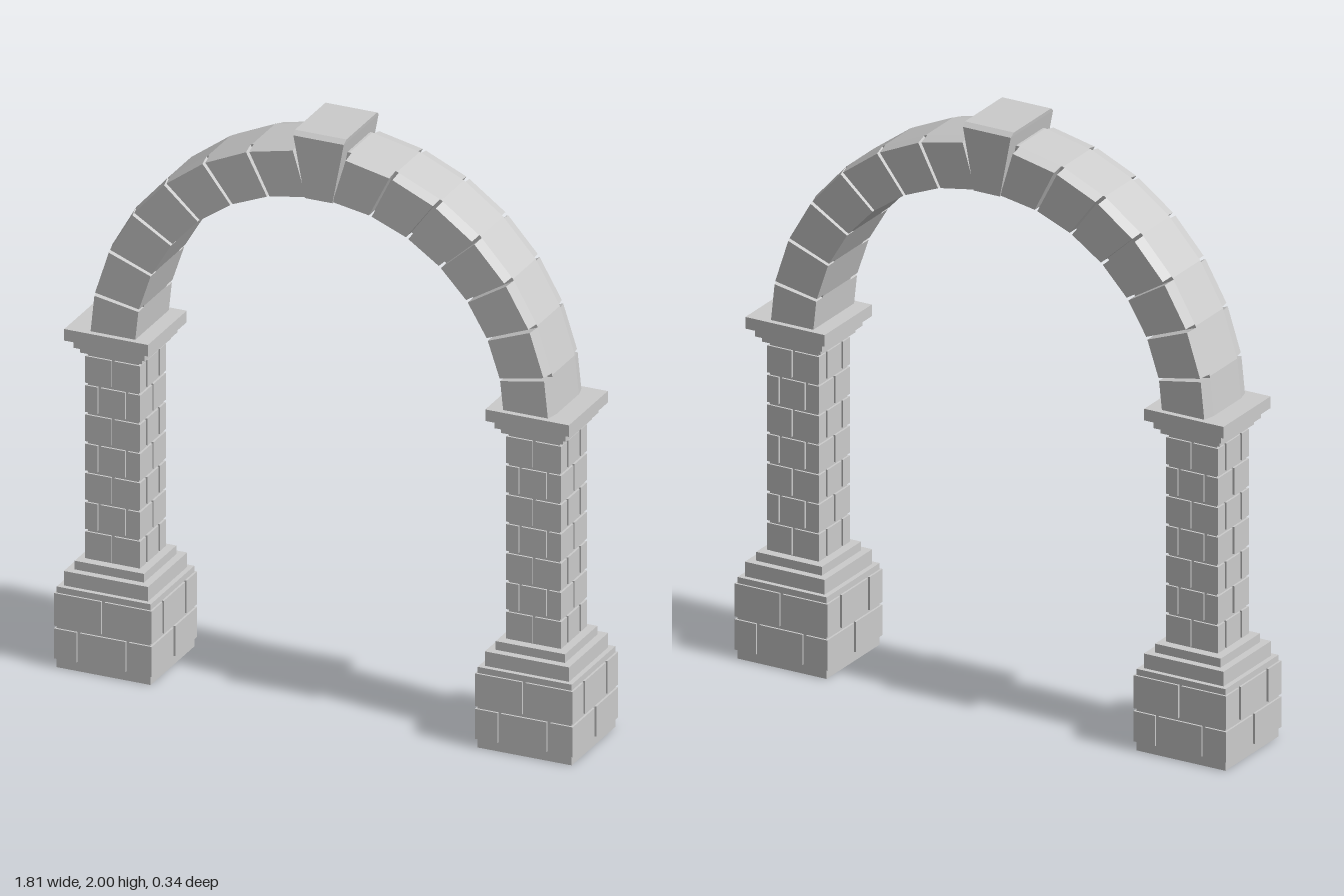
import * as THREE from 'three';

const stone = new THREE.MeshStandardMaterial({ color: 0xcccccc, flatShading: true });
const lerp = THREE.MathUtils.lerp;

function addMesh(parent, name, geometry) {
  const mesh = new THREE.Mesh(geometry, stone);
  mesh.name = name;
  parent.add(mesh);
  return mesh;
}

// Axis-aligned block from its centre in plan, its width and depth, and its bottom and top
function block(parent, name, x, z, w, d, y0, y1) {
  addMesh(parent, name, new THREE.BoxGeometry(w, y1 - y0, d)).position.set(x, (y0 + y1) / 2, z);
}

// Box whose corners are moved by rule(u, v, w), each running from 0 to 1
function warpedBox(rule, ySegments = 1) {
  const geo = new THREE.BoxGeometry(1, 1, 1, 1, ySegments, 1).toNonIndexed();
  const p = geo.attributes.position;
  for (let i = 0; i < p.count; i++) {
    p.setXYZ(i, ...rule(p.getX(i) + 0.5, p.getY(i) + 0.5, p.getZ(i) + 0.5));
  }
  geo.computeVertexNormals();
  return geo;
}

// One brick course: four corner bricks and a middle brick on two opposite sides
function course(parent, name, h, y0, y1, gap, turned) {
  const put = (x, z, w, d) => turned
    ? block(parent, name, z, x, d, w, y0, y1)
    : block(parent, name, x, z, w, d, y0, y1);
  const long = h - gap / 2, short = h / 2 - gap / 2;
  for (const sx of [-1, 1]) {
    for (const sz of [-1, 1]) put(sx * (h - long / 2), sz * (h - short / 2), long, short);
    put(sx * (h - long / 2), 0, long, h - gap);
  }
}

function createPillar() {
  const pillar = new THREE.Group();
  pillar.name = 'pillar';

  // Plinth: mortar core with two brick courses
  block(pillar, 'plinthCore', 0, 0, 0.328, 0.328, 0, 0.28);
  course(pillar, 'plinthBrick', 0.171, 0.032, 0.136, 0.012, true);
  course(pillar, 'plinthBrick', 0.171, 0.146, 0.259, 0.012, false);

  // Stepped foot
  block(pillar, 'footLowerStep', 0, 0, 0.294, 0.294, 0.28, 0.33);
  block(pillar, 'footUpperStep', 0, 0, 0.242, 0.242, 0.33, 0.36);

  // Shaft: mortar core with seven courses, turned alternately
  block(pillar, 'shaftCore', 0, 0, 0.178, 0.178, 0.36, 1.085);
  for (let i = 0; i < 7; i++) {
    const y = 0.364 + i * 0.1015;
    course(pillar, 'shaftBrick', 0.096, y, y + 0.0925, 0.01, i % 2 === 1);
  }

  // Stepped capital
  block(pillar, 'capitalLowerStep', 0, 0, 0.216, 0.216, 1.08, 1.1);
  block(pillar, 'capitalUpperStep', 0, 0, 0.248, 0.248, 1.1, 1.13);
  block(pillar, 'capitalSlab', 0, 0, 0.292, 0.292, 1.13, 1.17);
  return pillar;
}

// Wedge of the ring; joints hold [inner, outer] angles from the vertical in degrees
const CENTRE = 1.135, INNER = 0.646, OUTER = 0.812;
function voussoir(jointA, jointB, z0, z1, outerAt0, outerAt1, inset) {
  const corner = (joint, v, r) => {
    const a = THREE.MathUtils.degToRad(joint[v]);
    return [r * Math.sin(a), CENTRE + r * Math.cos(a)];
  };
  return warpedBox((u, v, w) => {
    const r = v < 0.5 ? INNER : lerp(outerAt0, outerAt1, w);
    const side = v < 0.5 ? 0 : 1;
    const a = corner(jointA, side, r), b = corner(jointB, side, r);
    const t = lerp(inset, 1 - inset, u);
    return [lerp(a[0], b[0], t), lerp(a[1], b[1], t), lerp(z0, z1, w)];
  });
}

function createArch() {
  const arch = new THREE.Group();
  arch.name = 'arch';
  const COUNT = 7, MID = 0.085, FACE = 0.126, EDGE = 0.802;
  const joint = (i) => [lerp(3.7, 90, i / COUNT), lerp(6.2, 90, i / COUNT)];
  const mirrored = (j) => [-j[0], -j[1]];

  // Continuous core behind the joints
  addMesh(arch, 'archCore', voussoir(mirrored(joint(0)), joint(0), -MID, MID, OUTER, OUTER, 0));

  for (let i = 0; i < COUNT; i++) {
    for (const side of [-1, 1]) {
      const a = side > 0 ? joint(i) : mirrored(joint(i + 1));
      const b = side > 0 ? joint(i + 1) : mirrored(joint(i));
      addMesh(arch, 'archCore', voussoir(a, b, -MID, MID, OUTER, OUTER, 0));
      // Separate stones on the front and back faces
      addMesh(arch, 'archStone', voussoir(a, b, MID, FACE, OUTER, EDGE, 0.035));
      addMesh(arch, 'archStone', voussoir(a, b, -FACE, -MID, EDGE, OUTER, 0.035));
    }
  }

  // Tapered keystone with bevelled top edges
  const profile = [[1.777, 0.048, 0.131], [1.987, 0.088, 0.131], [2, 0.09, 0.115]];
  addMesh(arch, 'keystone', warpedBox((u, v, w) => {
    const [y, halfW, halfD] = profile[Math.round(v * 2)];
    return [lerp(-halfW, halfW, u), y, lerp(-halfD, halfD, w)];
  }, 2));
  return arch;
}

export function createModel() {
  const model = new THREE.Group();
  model.name = 'stoneArchway';
  for (const side of [-1, 1]) {
    const pillar = createPillar();
    pillar.name = side > 0 ? 'leftPillar' : 'rightPillar';
    pillar.position.x = side * 0.735;
    model.add(pillar);
  }
  model.add(createArch());
  return model;
}
